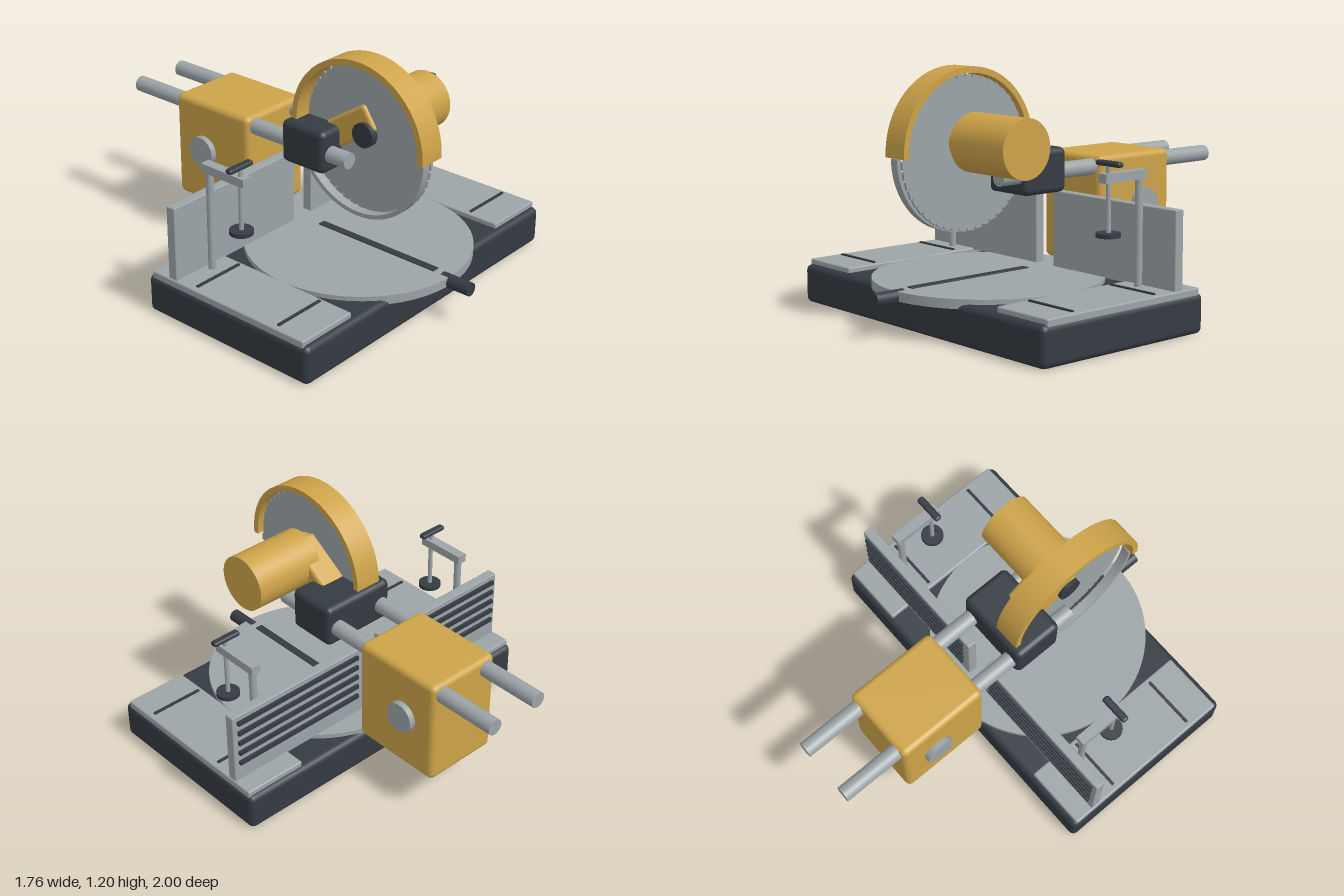
import * as THREE from 'three';
import { RoundedBoxGeometry } from 'three/addons/geometries/RoundedBoxGeometry.js';

const mat = (name, color) => {
  const m = new THREE.MeshStandardMaterial({ color });
  m.name = name;
  return m;
};

export function createModel() {
  const model = new THREE.Group();
  model.name = 'slidingMitreSaw';
  const dark = mat('charcoal', 0x343b42);
  const grey = mat('steelGrey', 0x9ca4a7);
  const yellow = mat('ochreYellow', 0xcda349);

  const add = (name, geo, material, x, y, z, parent = model) => {
    const mesh = new THREE.Mesh(geo, material);
    mesh.name = name;
    mesh.position.set(x, y, z);
    parent.add(mesh);
    return mesh;
  };
  const box = (w, h, d) => new THREE.BoxGeometry(w, h, d);
  const round = (w, h, d, r) => new RoundedBoxGeometry(w, h, d, 3, r);
  const cyl = (r, len, axis = 'y', seg = 32) => {
    const g = new THREE.CylinderGeometry(r, r, len, seg);
    if (axis === 'x') g.rotateZ(Math.PI / 2);
    if (axis === 'z') g.rotateX(Math.PI / 2);
    return g;
  };
  // Extrudes a side profile (shape x = model z) centred across the x axis
  const sideExtrude = (shape, width) => {
    const g = new THREE.ExtrudeGeometry(shape, { depth: width, bevelEnabled: false, curveSegments: 48 });
    g.translate(0, 0, -width / 2);
    return g.rotateY(-Math.PI / 2);
  };
  const arcBand = (outer, inner, start, end) => {
    const s = new THREE.Shape();
    s.absarc(0, 0, outer, start, end, false);
    s.absarc(0, 0, inner, end, start, true);
    s.closePath();
    return s;
  };

  // Base, turntable and front handle
  add('base', round(1.76, 0.19, 0.98, 0.03), dark, 0, 0.1, 0.292);
  add('turntable', cyl(0.55, 0.045, 'y', 96), grey, 0, 0.195, 0.335);
  add('kerfSlot', round(0.04, 0.008, 0.7, 0.003), dark, 0, 0.219, 0.45);
  add('turntableHandle', cyl(0.033, 0.16, 'z'), dark, 0, 0.19, 0.92);

  // Tables, fences and clamps on both sides
  for (const s of [-1, 1]) {
    add('sideTable', round(0.325, 0.04, 0.925, 0.008), grey, s * 0.71, 0.2, 0.288);
    for (const z of [0.088, 0.583])
      add('tableSlot', box(0.275, 0.009, 0.014), dark, s * 0.707, 0.2225, z);

    add('fence', round(0.805, 0.375, 0.05, 0.005), grey, s * 0.463, 0.4, -0.047);
    for (let i = 0; i < 5; i++)
      add('fenceRib', box(0.74, 0.02, 0.018), dark, s * 0.47, 0.32 + i * 0.0575, -0.078);

    const clamp = new THREE.Group();
    clamp.name = 'clamp';
    clamp.position.x = s * 0.67;
    model.add(clamp);
    add('clampPost', cyl(0.018, 0.53), grey, 0, 0.48, 0.013, clamp);
    add('clampArm', box(0.05, 0.042, 0.26), grey, 0, 0.735, 0.114, clamp);
    add('clampScrew', cyl(0.011, 0.32), grey, 0, 0.64, 0.205, clamp);
    add('clampFoot', cyl(0.056, 0.02), dark, 0, 0.48, 0.205, clamp);
    add('clampHandle', round(0.15, 0.025, 0.038, 0.012), dark, 0, 0.798, 0.2, clamp);

    add('slideRail', cyl(0.04, 1.39, 'z'), grey, s * 0.14, 0.695, -0.305);
  }

  // Rear carriage with its cross pin, and the saw head block
  add('rearCarriage', round(0.4, 0.54, 0.485, 0.03), yellow, 0, 0.48, -0.44);
  add('carriagePin', cyl(0.077, 0.46, 'x'), grey, 0, 0.495, -0.492);
  add('headBlock', round(0.4, 0.215, 0.26, 0.03), dark, 0, 0.708, 0.147);

  // Motor and the arm tying it to the head
  const arm = add('headArm', round(0.16, 0.14, 0.28, 0.02), yellow, 0, 0.83, 0.335);
  arm.rotation.x = -0.59;
  add('motor', cyl(0.14, 0.37, 'x', 48), yellow, 0.195, 0.852, 0.428);
  add('motorCollar', cyl(0.1, 0.08, 'x'), yellow, -0.01, 0.85, 0.428);

  // Toothed blade with a clamping flange
  const blade = new THREE.Shape();
  const teeth = 48;
  for (let i = 0; i < teeth; i++) {
    const a = (i / teeth) * Math.PI * 2;
    const b = ((i + 0.75) / teeth) * Math.PI * 2;
    if (i === 0) blade.moveTo(0.352, 0);
    else blade.lineTo(0.352 * Math.cos(a), 0.352 * Math.sin(a));
    blade.lineTo(0.37 * Math.cos(a), 0.37 * Math.sin(a));
    blade.lineTo(0.366 * Math.cos(b), 0.366 * Math.sin(b));
  }
  blade.closePath();
  add('blade', sideExtrude(blade, 0.014), grey, -0.056, 0.795, 0.428);
  add('bladeFlange', cyl(0.06, 0.05, 'x'), dark, -0.075, 0.82, 0.428);

  // Guards: wide upper half and narrow lower half
  add('upperGuard', sideExtrude(arcBand(0.385, 0.355, -0.04, Math.PI + 0.04), 0.138), yellow, -0.081, 0.815, 0.428);
  add('lowerGuard', sideExtrude(arcBand(0.373, 0.352, Math.PI, Math.PI * 2), 0.046), grey, -0.104, 0.795, 0.428);

  return model;
}
